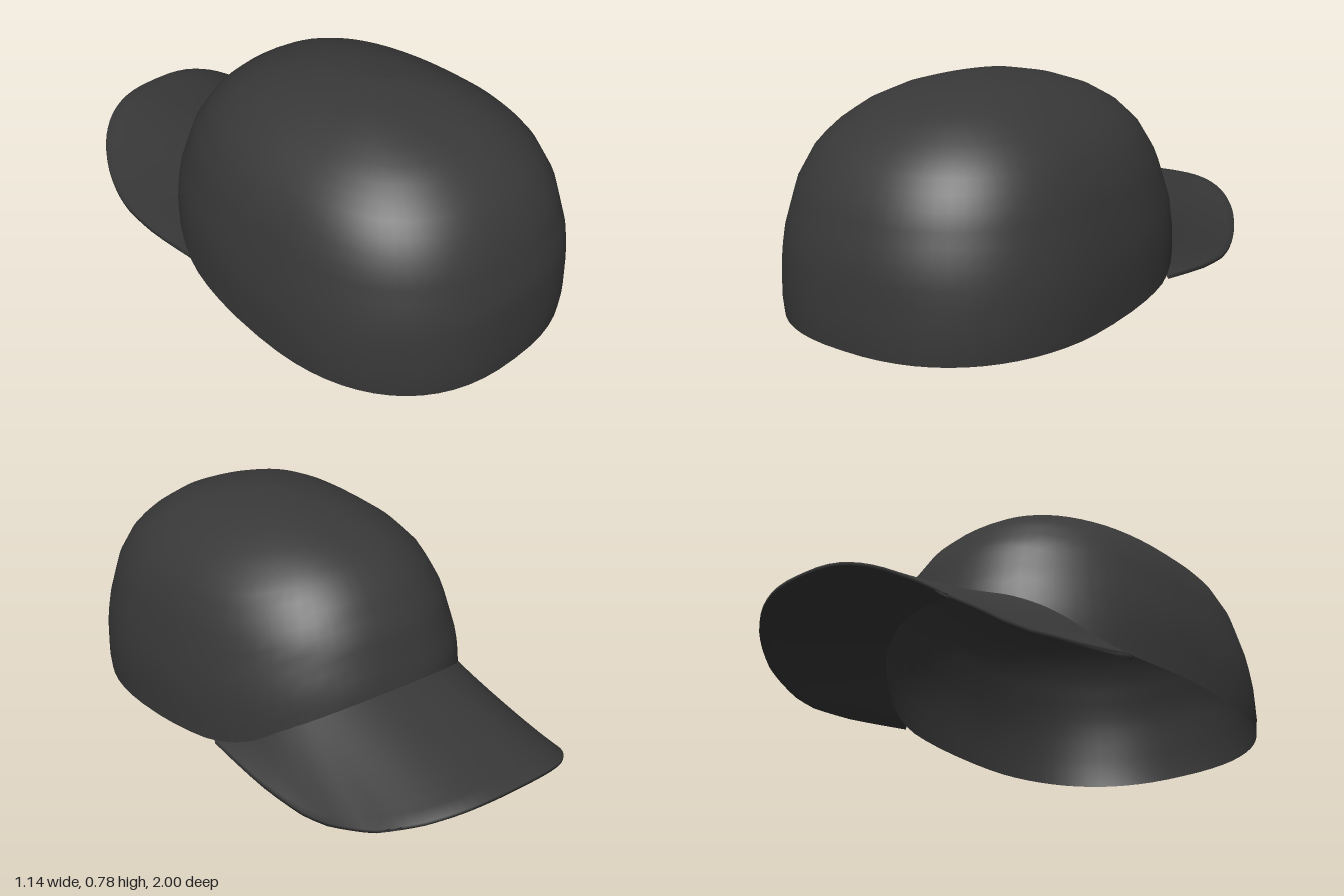
import * as THREE from 'three';
import { mergeVertices } from 'three/addons/utils/BufferGeometryUtils.js';

// Crown sections: height, half width, front z, back z
const CROWN = [
  [0.02, 0.56, 0.99, -0.46], [0.04, 0.57, 0.997, -0.46], [0.2, 0.567, 0.99, -0.46],
  [0.3, 0.553, 0.983, -0.45], [0.47, 0.51, 0.93, -0.388], [0.58, 0.455, 0.865, -0.315],
  [0.65, 0.385, 0.785, -0.24], [0.705, 0.305, 0.7, -0.14], [0.75, 0.21, 0.57, 0],
  [0.775, 0.12, 0.45, 0.13], [0.788, 0, 0.3, 0.3],
];
// Height of the crown's lower edge along z
const RIM = [[-0.46, 0.28], [-0.37, 0.222], [-0.28, 0.165], [-0.2, 0.11], [-0.12, 0.078], [-0.06, 0.065], [0, 0.058], [0.5, 0.03], [1, 0.022]];
// Height of the brim's outer edge along z
const EDGE = [[-1, 0.165], [-0.97, 0.145], [-0.905, 0.107], [-0.78, 0.048], [-0.625, 0.012], [-0.53, 0.005], [-0.34, 0.022], [-0.06, 0.06]];

const TOP = 0.788;
const MID_Z = 0.36;

// Linear lookup: first column is the key, the others are returned
function lookup(table, key) {
  let i = 0;
  while (i < table.length - 2 && key > table[i + 1][0]) i++;
  const [a, b] = [table[i], table[i + 1]];
  const t = THREE.MathUtils.clamp((key - a[0]) / (b[0] - a[0]), 0, 1);
  return a.slice(1).map((v, k) => v + (b[k + 1] - v) * t);
}

const softPow = (v, n) => Math.sign(v) * Math.pow(Math.abs(v), 2 / n);

function crownSection(y, angle) {
  const [w, front, back] = lookup(CROWN, y);
  const mid = Math.min(MID_Z, front);
  const s = softPow(Math.sin(angle), 2.4);
  const z = mid + s * (s > 0 ? front - mid : mid - back);
  return new THREE.Vector3(softPow(Math.cos(angle), 2.4) * w, y, z);
}

// f = 0 at the lower edge, 1 at the top
function crownPoint(f, angle) {
  const rim = lookup(RIM, crownSection(0.05, angle).z)[0];
  return crownSection(rim + (TOP - rim) * f, angle);
}

// Smooth sheet from a grid of points
function sheet(rows, cols, pointAt) {
  const pos = [], index = [];
  for (let i = 0; i <= rows; i++)
    for (let j = 0; j <= cols; j++) {
      pos.push(...pointAt(i, j / cols).toArray());
      if (i < rows && j < cols) {
        const a = i * (cols + 1) + j, b = a + cols + 1;
        index.push(a, b, a + 1, a + 1, b, b + 1);
      }
    }
  const g = new THREE.BufferGeometry();
  g.setAttribute('position', new THREE.Float32BufferAttribute(pos, 3));
  g.setIndex(index);
  const merged = mergeVertices(g, 1e-4);
  merged.computeVertexNormals();
  return merged;
}

export function createModel() {
  const group = new THREE.Group();
  group.name = 'cap';
  const cloth = new THREE.MeshStandardMaterial({ color: 0x383838, side: THREE.DoubleSide });
  const add = (name, geometry) => {
    const mesh = new THREE.Mesh(geometry, cloth);
    mesh.name = name;
    group.add(mesh);
  };

  // Hollow domed crown, open below
  const rows = 20;
  add('crown', sheet(rows, 64, (i, u) => crownPoint(Math.sin((i / rows) * Math.PI / 2), u * Math.PI * 2)));

  // Curved brim: upper face out to the edge, then lower face back in
  const steps = 10, start = 0.48, thickness = 0.012;
  add('brim', sheet(steps * 2 + 1, 48, (i, u) => {
    const under = i > steps;
    const v = (under ? steps * 2 + 1 - i : i) / steps;
    const inner = crownPoint(0, -(start + u * (Math.PI - 2 * start)));
    inner.y += 0.002;
    inner.z += 0.002;
    const a = u * Math.PI;
    const outer = new THREE.Vector3(softPow(Math.cos(a), 2.7) * 0.515 + 0.012, 0,
      -0.06 - 0.94 * softPow(Math.sin(a), 2.7));
    outer.y = lookup(EDGE, outer.z)[0] + thickness;
    const p = inner.lerp(outer, v);
    p.y -= 0.04 * v * (1 - v) * Math.sin(a) + (under ? 0.004 + (thickness - 0.004) * v : 0);
    return p;
  }));

  return group;
}
